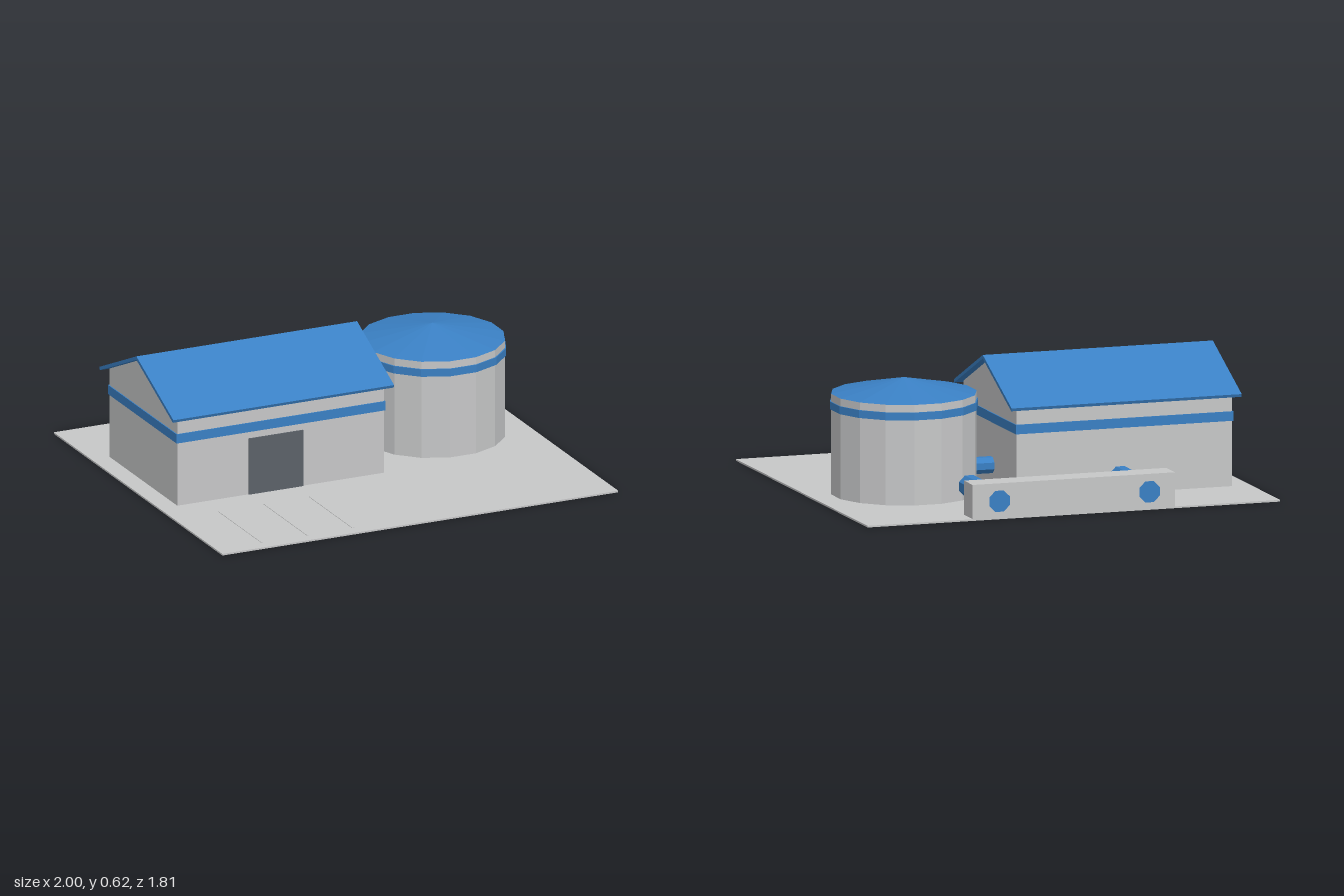
import * as THREE from 'three';

export function createModel() {
  const group = new THREE.Group();
  const mat = (name, color) => {
    const m = new THREE.MeshStandardMaterial({ color, flatShading: true });
    m.name = name;
    return m;
  };
  const grey = mat('concrete grey', 0xc6c7c8);
  const blue = mat('painted blue', 0x3a80c4);
  const dark = mat('dark door grey', 0x5c6269);

  const add = (name, geometry, material) => {
    const mesh = new THREE.Mesh(geometry, material);
    mesh.name = name;
    group.add(mesh);
    return mesh;
  };
  // Box given by its lower and upper limits on each axis
  const box = (name, material, [x0, x1], [y0, y1], [z0, z1]) =>
    add(name, new THREE.BoxGeometry(x1 - x0, y1 - y0, z1 - z0), material)
      .position.set((x0 + x1) / 2, (y0 + y1) / 2, (z0 + z1) / 2);
  // Extrusion of a (z, y) outline along x
  const alongX = (name, material, outline, x0, x1, z) => {
    const shape = new THREE.Shape(outline.map(([a, b]) => new THREE.Vector2(a, b)));
    const geo = new THREE.ExtrudeGeometry(shape, { depth: x1 - x0, bevelEnabled: false });
    geo.rotateY(-Math.PI / 2);
    add(name, geo, material).position.set(x1, 0, z);
  };
  // Upright prism with flats facing the axes
  const prism = (r0, r1, h, sides) =>
    new THREE.CylinderGeometry(r1, r0, h, sides).rotateY(Math.PI / sides);

  // Ground slab and parking lines
  const ground = 0.008;
  box('ground', grey, [-1, 1], [0, ground], [-0.905, 0.905]);
  for (const x of [-0.77, -0.54, -0.31])
    box('parkingLine', grey, [x - 0.005, x + 0.005], [ground, ground + 0.002], [0.38, 0.845]);

  // Hall with gabled ends
  const hallZ = -0.135;
  alongX('hallWalls', grey,
    [[-0.365, ground], [0.365, ground], [0.365, 0.436], [0, 0.602], [-0.365, 0.436]],
    -0.91, 0.135, hallZ);
  alongX('hallRoof', blue,
    [[-0.398, 0.439], [-0.392, 0.425], [0, 0.603], [0.392, 0.425], [0.398, 0.439], [0, 0.62]],
    -0.945, 0.17, hallZ);
  box('hallBand', blue, [-0.915, 0.14], [0.312, 0.356], [-0.505, 0.235]);
  box('hallDoor', dark, [-0.55, -0.275], [ground, 0.28], [0.228, 0.236]);

  // Round tank
  const tankX = 0.56, tankZ = -0.157;
  add('tankWall', prism(0.336, 0.336, 0.467, 16), grey).position.set(tankX, ground + 0.2335, tankZ);
  add('tankBand', prism(0.342, 0.342, 0.036, 16), blue).position.set(tankX, 0.422, tankZ);
  add('tankRoof', prism(0.336, 0, 0.07, 16), blue).position.set(tankX, 0.51, tankZ);

  // Low rear wall with two pipes through it
  box('rearWall', grey, [-0.49, 0.49], [ground, 0.167], [-0.905, -0.785]);
  for (const [x, z0] of [[-0.367, -0.45], [0.36, -0.487]]) {
    const length = z0 + 0.907;
    const pipe = prism(0.053, 0.053, length, 8).rotateX(Math.PI / 2);
    add('rearPipe', pipe, blue).position.set(x, 0.084, z0 - length / 2);
  }

  // Pipe joining the hall and the tank
  const link = prism(0.04, 0.04, 0.16, 8).rotateZ(Math.PI / 2);
  add('linkPipe', link, blue).position.set(0.185, 0.113, -0.16);

  return group;
}
